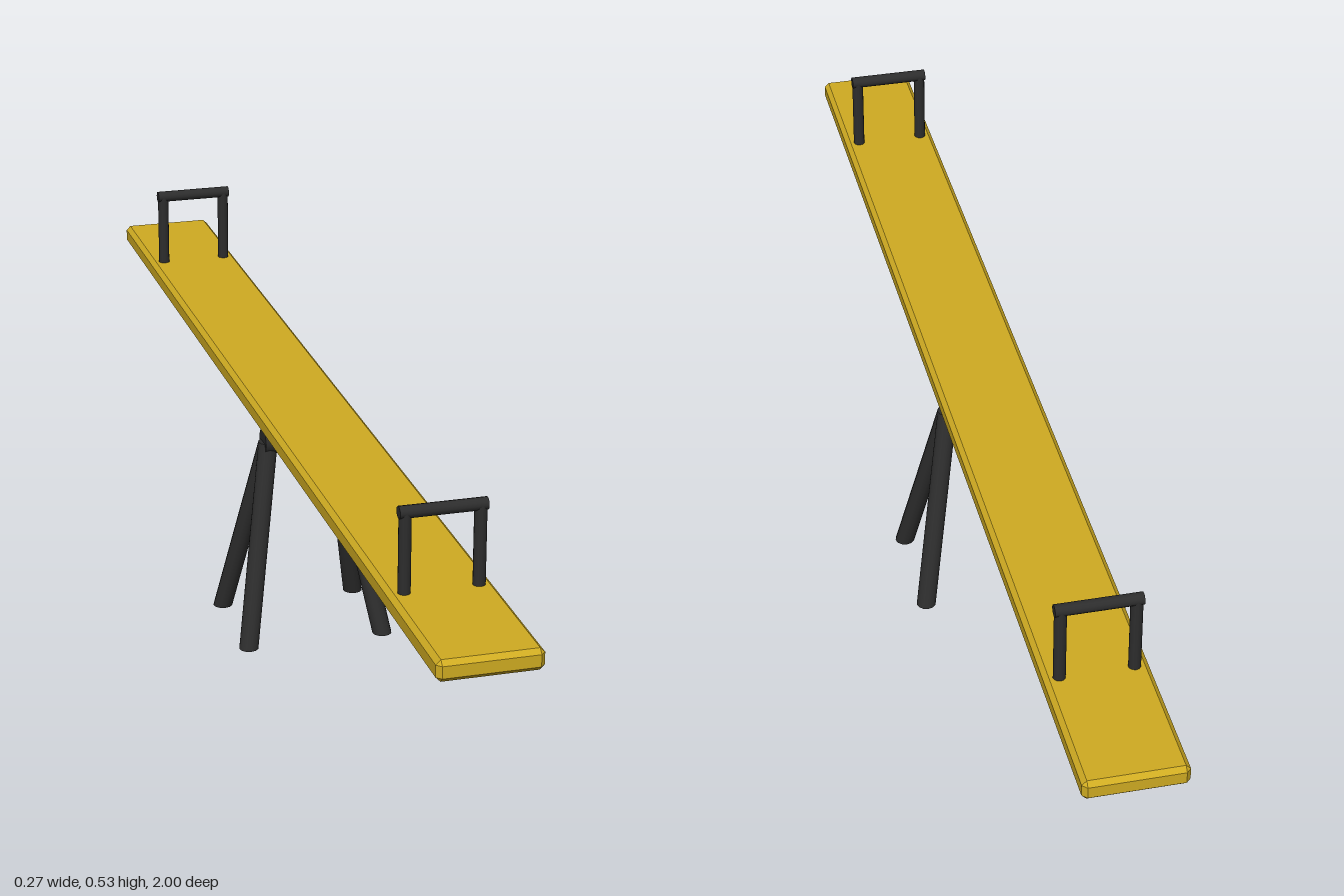
import * as THREE from 'three';
import { ConvexGeometry } from 'three/addons/geometries/ConvexGeometry.js';

// Box with every edge and corner cut by a flat chamfer
function chamferBox(w, h, d, c) {
  const half = [w / 2, h / 2, d / 2], pts = [];
  for (const sx of [-1, 1]) for (const sy of [-1, 1]) for (const sz of [-1, 1]) {
    for (let axis = 0; axis < 3; axis++) {
      const p = half.map((v, i) => (i === axis ? v : v - c));
      pts.push(new THREE.Vector3(sx * p[0], sy * p[1], sz * p[2]));
    }
  }
  return new ConvexGeometry(pts);
}

export function createModel() {
  const group = new THREE.Group();
  const yellow = new THREE.MeshStandardMaterial({ color: 0xd0ac22 });
  yellow.name = 'yellowPaint';
  const black = new THREE.MeshStandardMaterial({ color: 0x2d2d2d });
  black.name = 'blackMetal';

  const add = (parent, name, geometry, material, x, y, z) => {
    const mesh = new THREE.Mesh(geometry, material);
    mesh.name = name;
    mesh.position.set(x, y, z);
    parent.add(mesh);
    return mesh;
  };

  // Plank
  add(group, 'plank', chamferBox(0.16, 0.034, 2, 0.0075), yellow, 0, 0.38, 0);

  // Pivot: block under the plank on a horizontal axle
  add(group, 'pivotBlock', chamferBox(0.054, 0.036, 0.06, 0.005), black, 0, 0.35, 0);
  const axle = new THREE.CylinderGeometry(0.022, 0.022, 0.134, 16).rotateZ(Math.PI / 2);
  add(group, 'axle', axle, black, 0, 0.334, 0);

  // Splayed legs: slanted cylinders with level ends
  const legHeight = 0.333;
  for (const sx of [-1, 1]) for (const sz of [-1, 1]) {
    const leg = new THREE.CylinderGeometry(0.0165, 0.0165, legHeight, 12);
    const dx = sx * (0.058 - 0.1165), dz = -sz * 0.09;
    leg.applyMatrix4(new THREE.Matrix4().set(
      1, dx / legHeight, 0, 0,
      0, 1, 0, 0,
      0, dz / legHeight, 1, 0,
      0, 0, 0, 1));
    add(group, 'leg', leg, black, sx * 0.08725, legHeight / 2, sz * 0.045);
  }

  // Handles: two posts and a grip near each end
  const post = new THREE.CylinderGeometry(0.0098, 0.0098, 0.144, 12);
  const grip = new THREE.CylinderGeometry(0.0098, 0.0098, 0.134, 12).rotateZ(Math.PI / 2);
  for (const sz of [-1, 1]) {
    const handle = new THREE.Group();
    handle.name = 'handle';
    handle.position.z = sz * 0.768;
    for (const sx of [-1, 1]) add(handle, 'handlePost', post, black, sx * 0.057, 0.452, 0);
    add(handle, 'handleGrip', grip, black, 0, 0.524, 0);
    group.add(handle);
  }
  return group;
}
